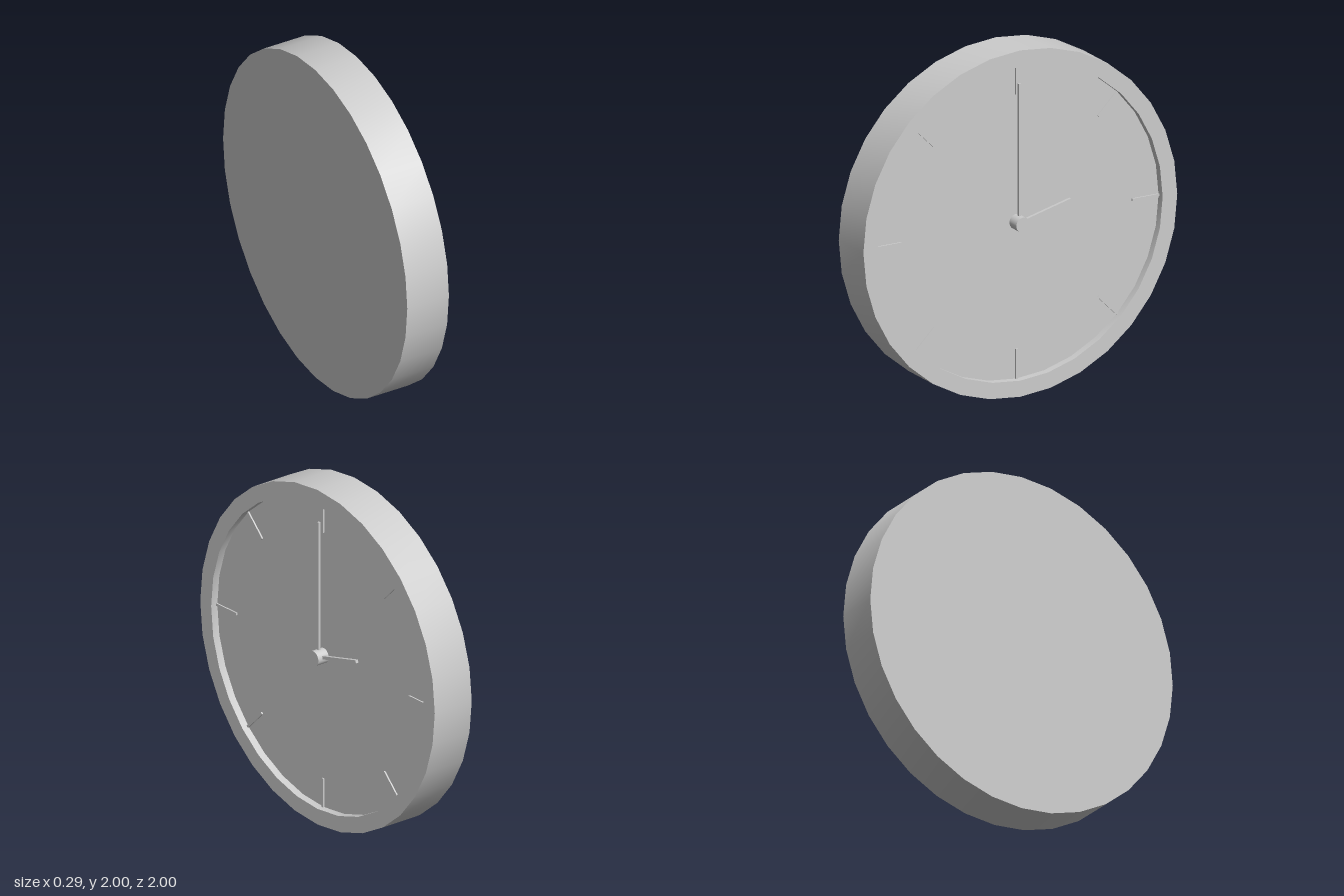
import * as THREE from 'three';
import { toCreasedNormals } from 'three/addons/utils/BufferGeometryUtils.js';

const BACK = -0.147, RIM = 0.117, DIAL = 0.073, HAND = 0.108, HUB = 0.147;

export function createModel() {
  const clock = new THREE.Group();
  clock.name = 'wallClock';
  const grey = new THREE.MeshStandardMaterial({ color: 0xcccccc });
  grey.name = 'light grey';

  // Radial bar on the clock plane; angle runs clockwise from twelve as seen from +x
  function bar(name, x, angle, from, to, width) {
    const geo = new THREE.BoxGeometry(width, to - from, width);
    geo.translate(x, (from + to) / 2, 0);
    const mesh = new THREE.Mesh(geo, grey);
    mesh.name = name;
    mesh.rotation.x = -angle;
    mesh.position.y = 1;
    clock.add(mesh);
  }

  // Case: closed back, outer wall, raised rim and recessed dial
  const profile = [
    [0, BACK], [1, BACK], [1, RIM], [0.907, RIM], [0.907, DIAL], [0, DIAL],
  ].map(([r, h]) => new THREE.Vector2(r, h));
  const caseGeo = toCreasedNormals(new THREE.LatheGeometry(profile, 32), Math.PI / 6);
  const body = new THREE.Mesh(caseGeo, grey);
  body.name = 'caseAndDial';
  body.rotation.z = -Math.PI / 2;
  body.position.y = 1;
  clock.add(body);

  // Central hub
  const hub = new THREE.Mesh(new THREE.CylinderGeometry(0.043, 0.043, HUB - DIAL, 32), grey);
  hub.name = 'hub';
  hub.rotation.z = -Math.PI / 2;
  hub.position.set((HUB + DIAL) / 2, 1, 0);
  clock.add(hub);

  // Eight hour marks
  for (let i = 0; i < 8; i++) bar('hourMark', DIAL + 0.002, (i * Math.PI) / 4, 0.735, 0.908, 0.014);

  // Hands
  bar('minuteHand', HAND, 0, 0, 0.805, 0.014);
  bar('hourHand', HAND, THREE.MathUtils.degToRad(76), 0, 0.335, 0.018);

  return clock;
}
